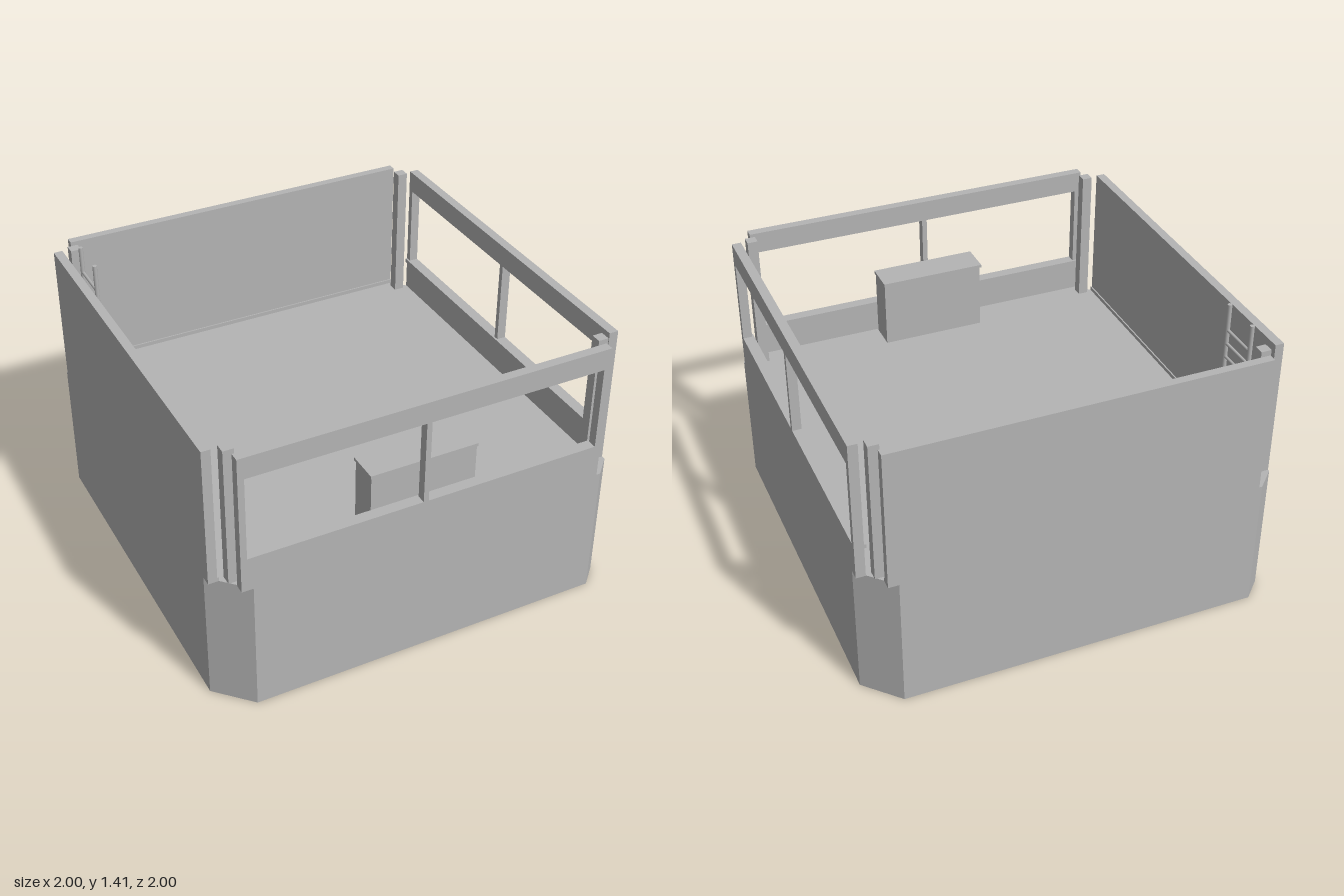
import * as THREE from 'three';

const grey = new THREE.MeshStandardMaterial({ color: 0xb4b4b4 });
grey.name = 'plain grey';

const FLOOR = 0.67, TOP = 1.36;

export function createModel() {
  const model = new THREE.Group();
  model.name = 'controlRoom';

  const add = (name, geometry, parent = model) => {
    const mesh = new THREE.Mesh(geometry, grey);
    mesh.name = name;
    parent.add(mesh);
    return mesh;
  };
  // box given by its min and max corners
  const box = (name, x0, x1, y0, y1, z0, z1, parent) => {
    const g = new THREE.BoxGeometry(x1 - x0, y1 - y0, z1 - z0);
    g.translate((x0 + x1) / 2, (y0 + y1) / 2, (z0 + z1) / 2);
    return add(name, g, parent);
  };
  const rect = (PathType, x0, x1, y0, y1) => new PathType([
    [x0, y0], [x1, y0], [x1, y1], [x0, y1],
  ].map(([x, y]) => new THREE.Vector2(x, y)));

  // solid base with two narrow and two wide chamfered corners
  const outline = [
    [-0.84, 1], [0.91, 1], [0.995, 0.915], [0.995, -0.84],
    [0.84, -1], [-0.91, -1], [-1, -0.91], [-1, 0.84],
  ];
  const base = new THREE.ExtrudeGeometry(
    new THREE.Shape(outline.map(([x, z]) => new THREE.Vector2(x, -z))),
    { depth: FLOOR, bevelEnabled: false });
  base.rotateX(-Math.PI / 2);
  add('base', base);

  // window walls: a frame with two openings and a mullion between them
  const windowWall = () => {
    const shape = rect(THREE.Shape, -0.895, 0.89, FLOOR, TOP);
    shape.holes.push(rect(THREE.Path, -0.865, -0.03, 0.84, 1.255),
      rect(THREE.Path, -0.005, 0.86, 0.84, 1.255));
    return new THREE.ExtrudeGeometry(shape, { depth: 0.045, bevelEnabled: false });
  };
  const frontWall = new THREE.Group();
  frontWall.name = 'frontWall';
  add('frontWindowFrame', windowWall(), frontWall);
  box('frontSill', -0.89, 0.89, 0.82, 0.84, -0.01, 0, frontWall);
  frontWall.position.z = 0.955;
  model.add(frontWall);

  const leftWall = new THREE.Group();
  leftWall.name = 'leftWall';
  add('leftWindowFrame', windowWall(), leftWall);
  box('leftSill', -0.89, 0.89, 0.82, 0.84, -0.01, 0, leftWall);
  leftWall.rotation.y = Math.PI / 2;
  leftWall.position.x = 0.95;
  model.add(leftWall);

  // solid walls with a low skirting inside
  box('backWall', -0.895, 0.89, FLOOR, TOP, -1, -0.96);
  box('backSkirting', -0.89, 0.89, FLOOR, 0.69, -0.96, -0.953);
  box('rightWall', -1, -0.957, FLOOR, TOP, -0.9, 0.89);
  box('rightSkirting', -0.957, -0.95, FLOOR, 0.69, -0.89, 0.89);

  // corner posts
  for (const x of [-0.897, 0.897]) for (const z of [-0.9, 0.9])
    box('cornerPost', x - 0.025, x + 0.025, FLOOR, TOP, z - 0.025, z + 0.025);

  // console under the front window
  box('consoleBody', -0.26, 0.26, FLOOR, 1.01, 0.805, 0.945);
  box('consoleTop', -0.265, 0.265, 1.01, 1.025, 0.795, 0.95);

  // ladder beside the right wall
  const ladder = new THREE.Group();
  ladder.name = 'ladder';
  model.add(ladder);
  for (const z of [-0.795, -0.6]) {
    const rail = new THREE.CylinderGeometry(0.011, 0.011, 1.415 - FLOOR, 12);
    add('ladderRail', rail, ladder).position.set(-0.897, (1.415 + FLOOR) / 2, z);
  }
  for (let i = 0; i < 9; i++) {
    const rung = new THREE.CylinderGeometry(0.008, 0.008, 0.195, 10);
    rung.rotateX(Math.PI / 2);
    add('ladderRung', rung, ladder).position.set(-0.897, 0.725 + i * 0.0695, -0.6975);
  }

  return model;
}
